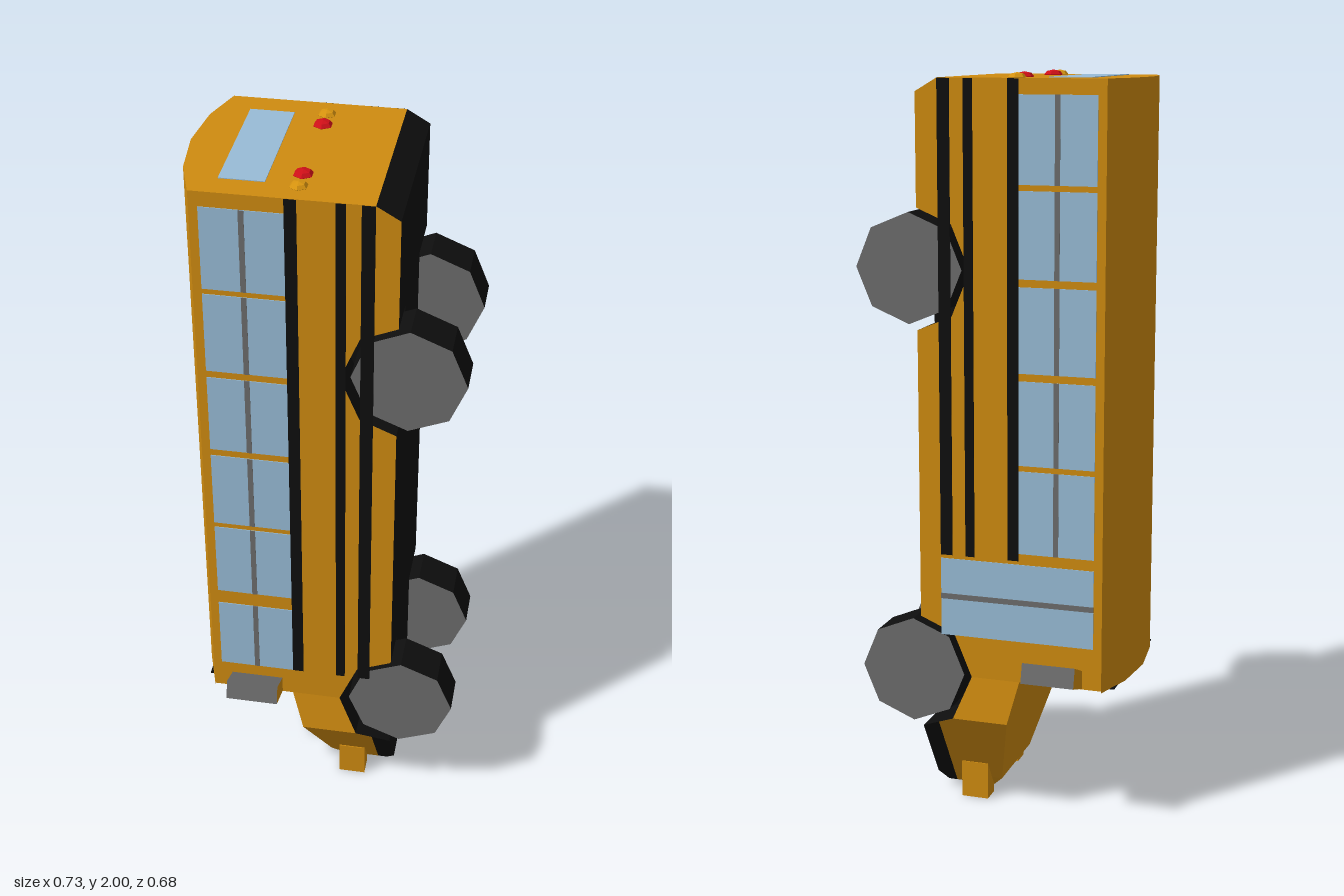
import * as THREE from 'three';

const mat = (name, color) => {
  const m = new THREE.MeshStandardMaterial({ color, flatShading: true });
  m.name = name;
  return m;
};

export function createModel() {
  const yellow = mat('body yellow', 0xcf8b10);
  const black = mat('trim black', 0x0e0e0e);
  const glass = mat('window glass', 0x98bcd6);
  const grey = mat('wheel grey', 0x6c6c6c);
  const red = mat('lamp red', 0xd01018);
  const amber = mat('lamp amber', 0xd8940f);

  const bus = new THREE.Group();
  bus.name = 'bus';
  const add = (name, geo, material, x = 0, y = 0, z = 0) => {
    const m = new THREE.Mesh(geo, material);
    m.name = name;
    m.position.set(x, y, z);
    bus.add(m);
    return m;
  };
  // Box given by its limits on each axis
  const box = (name, material, x0, x1, y0, y1, z0, z1) =>
    add(name, new THREE.BoxGeometry(x1 - x0, y1 - y0, z1 - z0), material,
      (x0 + x1) / 2, (y0 + y1) / 2, (z0 + z1) / 2);
  const shapeOf = pts => new THREE.Shape(pts.map(p => new THREE.Vector2(...p)));

  // Half width of the body at height y: the nose tapers
  const widths = [[0.02, 0.11], [0.05, 0.13], [0.27, 0.27], [0.39, 0.255], [2, 0.255]];
  const halfWidth = y => {
    let i = 1;
    while (i < widths.length - 1 && y > widths[i][0]) i++;
    const [y0, w0] = widths[i - 1], [y1, w1] = widths[i];
    return w0 + (w1 - w0) * (y - y0) / (y1 - y0);
  };

  // Side profile extruded across the bus; faces turned to the underside are black
  const section = (name, pts, base = yellow) => {
    const g = new THREE.ExtrudeGeometry(shapeOf(pts), { depth: 2, bevelEnabled: false });
    const p = g.attributes.position;
    for (let i = 0; i < p.count; i++) p.setZ(i, (p.getZ(i) - 1) * halfWidth(p.getY(i)));
    g.computeVertexNormals();
    g.clearGroups();
    for (let i = 0; i < p.count; i += 3) g.addGroup(i, 3, g.attributes.normal.getX(i) > 0.2 ? 1 : 0);
    return add(name, g, [base, black]);
  };
  section('cabin', [[-0.318, 0.39], [0.045, 0.39], [0.095, 0.51], [0.19, 0.55], [0.19, 1.335],
    [0.095, 1.375], [0.045, 1.495], [0.095, 1.615], [0.19, 1.655], [0.19, 1.95],
    [0.13, 1.985], [-0.318, 1.985]]);
  section('hoodRear', [[-0.09, 0.39], [-0.059, 0.27], [0.095, 0.27], [0.045, 0.39]]);
  section('hoodFront', [[-0.059, 0.27], [0, 0.05], [0.14, 0.05], [0.14, 0.251], [0.095, 0.27]]);
  section('nose', [[0, 0.05], [0.03, 0.02], [0.14, 0.02], [0.14, 0.05]]);
  section('skirt', [[0.14, 0.05], [0.19, 0.05], [0.19, 0.23], [0.14, 0.251]], black);
  section('skirtNose', [[0.14, 0.02], [0.165, 0.02], [0.19, 0.05], [0.14, 0.05]], black);
  box('chassis', black, 0.04, 0.188, 0.2, 1.7, -0.13, 0.13);

  // Curved roof
  const roof = new THREE.ExtrudeGeometry(
    shapeOf([[-0.318, 0.255], [-0.355, 0.142], [-0.37, 0], [-0.355, -0.142], [-0.318, -0.255]]),
    { depth: 1.6, bevelEnabled: false });
  roof.rotateX(-Math.PI / 2);
  add('roof', roof, yellow, 0, 0.385, 0);

  // Wheels with grey faces
  for (const y of [0.39, 1.495]) for (const s of [-1, 1]) {
    const w = add('wheel', new THREE.CylinderGeometry(0.147, 0.147, 0.112, 8), [black, grey, grey],
      0.217, y, s * 0.189);
    w.rotation.x = Math.PI / 2;
  }

  // Thin plate on one side wall
  const plate = (name, material, s, x0, x1, y0, y1, t = 0.002) =>
    box(name, material, x0, x1, y0, y1, s * 0.256 - t / 2, s * 0.256 + t / 2);
  const rows = [[0.48, 0.705], [0.75, 0.975], [0.99, 1.215], [1.235, 1.46], [1.48, 1.705], [1.72, 1.945]];
  for (const s of [-1, 1]) {
    const start = s > 0 ? 0.48 : 0.73;
    rows.forEach(([y0, y1], i) => {
      if (s < 0 && i === 0) return;
      plate('sideWindow', glass, s, -0.295, -0.088, y0, y1);
      plate('windowBar', grey, s, -0.198, -0.184, y0, y1, 0.004);
    });
    for (const [x0, x1] of [[-0.088, -0.058], [0.035, 0.06], [0.097, 0.13]])
      plate('stripe', black, s, x0, x1, start, 1.984, 0.003);
  }
  // Entrance door
  plate('door', glass, -1, -0.295, 0.13, 0.505, 0.72);
  plate('doorBar', grey, -1, -0.295, 0.13, 0.607, 0.622, 0.004);

  // Rear window and windscreen
  box('rearWindow', glass, -0.26, -0.146, 1.984, 1.987, -0.185, 0.185);
  box('windscreen', glass, -0.29, -0.105, 0.387, 0.391, -0.225, 0.225);
  box('lampPanel', black, -0.342, -0.302, 0.382, 0.386, -0.21, 0.21);

  // Warning lamps, front and rear
  const lamp = (material, x, y, z, r, name) => {
    const m = add(name, new THREE.SphereGeometry(r, 6, 4), material, x, y, z);
    m.scale.y = 0.5;
    m.rotation.y = Math.PI / 6;
  };
  for (const s of [-1, 1]) {
    lamp(red, -0.064, 1.986, s * 0.131, 0.026, 'rearRedLamp');
    lamp(amber, -0.064, 1.986, s * 0.191, 0.024, 'rearAmberLamp');
    lamp(red, -0.322, 0.383, s * 0.131, 0.018, 'frontRedLamp');
    lamp(amber, -0.322, 0.383, s * 0.18, 0.018, 'frontAmberLamp');

    // Bumper blocks
    box('bumperBlock', yellow, 0.03, 0.106, 0, 0.104, s * 0.139 - 0.028, s * 0.139 + 0.028);

    // Mirrors: yellow housing, grey glass on the back and outer end
    const housing = new THREE.ExtrudeGeometry(
      shapeOf([[0.25, 0.39], [0.34, 0.42], [0.326, 0.473], [0.25, 0.44]]),
      { depth: 0.145, bevelEnabled: false });
    housing.rotateY(-Math.PI / 2);
    const n = housing.attributes.normal;
    housing.clearGroups();
    for (let i = 0; i < n.count; i += 3)
      housing.addGroup(i, 3, n.getY(i) > 0.5 || n.getZ(i) > 0.7 ? 1 : 0);
    const mirror = add('mirror', housing, [yellow, grey], s > 0 ? -0.12 : -0.265);
    if (s < 0) mirror.rotation.y = Math.PI;
  }
  return bus;
}
